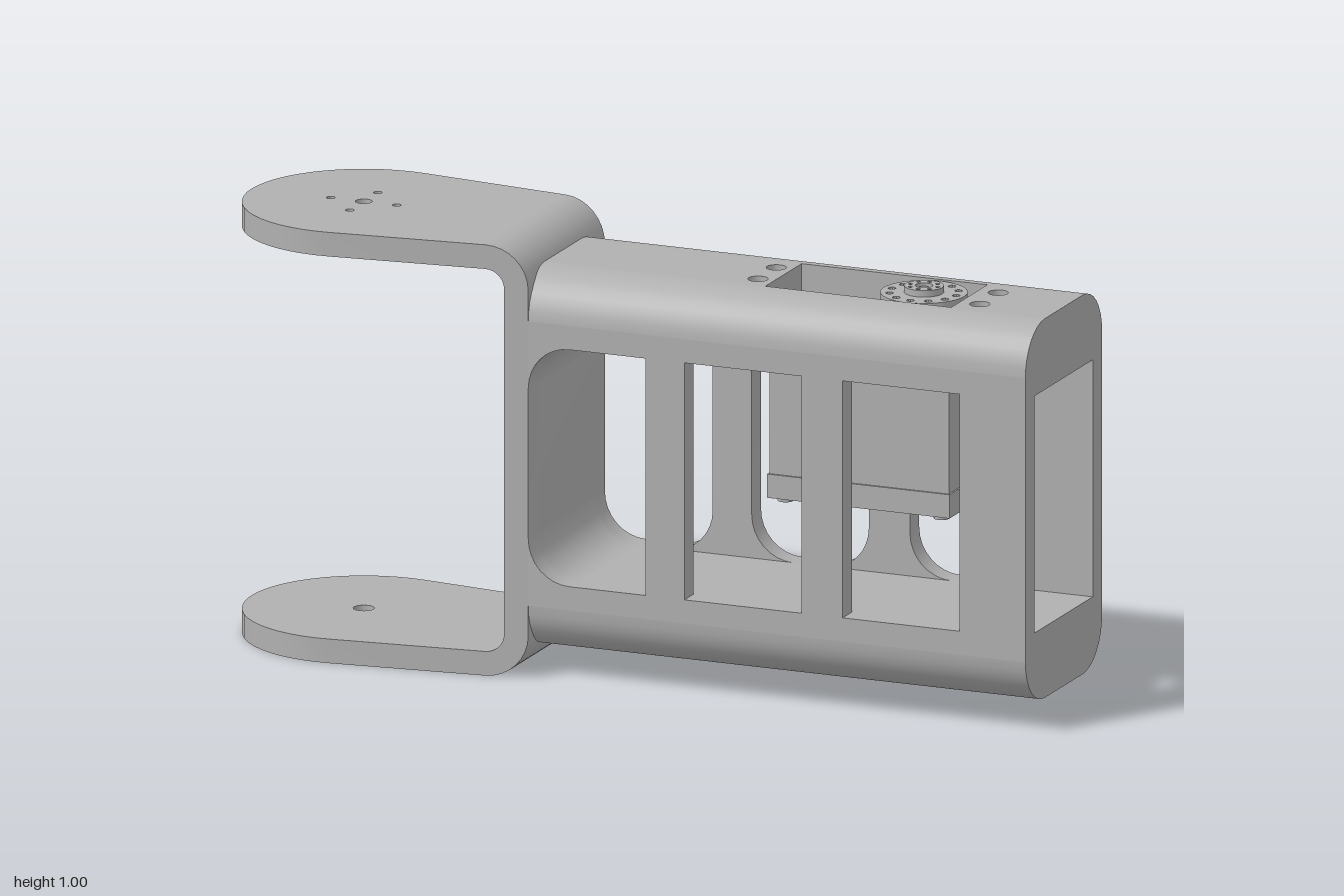
import * as THREE from 'three';
import { toCreasedNormals } from 'three/addons/utils/BufferGeometryUtils.js';

const V = (x, y) => new THREE.Vector2(x, y);

// points of a circular arc
function arc(cx, cy, r, a0, a1, n = 8) {
  return Array.from({ length: n + 1 }, (_, i) => {
    const a = a0 + (a1 - a0) * i / n;
    return V(cx + r * Math.cos(a), cy + r * Math.sin(a));
  });
}

// rectangle with separate radii for its left and right corners
function roundRect(x0, x1, y0, y1, rl = 0, rr = 0) {
  const q = Math.PI / 2;
  const corner = (x, y, sx, sy, r, a) =>
    r ? arc(x + sx * r, y + sy * r, r, a, a + q) : [V(x, y)];
  return [
    ...corner(x0, y0, 1, 1, rl, 2 * q), ...corner(x1, y0, -1, 1, rr, 3 * q),
    ...corner(x1, y1, -1, -1, rr, 0), ...corner(x0, y1, 1, -1, rl, q),
  ];
}

const circle = (x, y, r, n = 16) => arc(x, y, r, 0, Math.PI * 2 * (n - 1) / n, n - 1);

// extrude an outline with holes, centred on z = 0
function extrude(points, depth, holes = []) {
  const shape = new THREE.Shape(points);
  shape.holes = holes.map((h) => new THREE.Path(h));
  return new THREE.ExtrudeGeometry(shape, { depth, bevelEnabled: false }).translate(0, 0, -depth / 2);
}

// plan outline raised from y0 to y1
const slab = (points, y0, y1, holes) =>
  extrude(points, y1 - y0, holes).rotateX(-Math.PI / 2).translate(0, (y0 + y1) / 2, 0);

export function createModel() {
  const grey = new THREE.MeshStandardMaterial({ color: 0xb0b0b0 });
  grey.name = 'grey';
  const model = new THREE.Group();
  model.name = 'servoArm';
  const arm = new THREE.Group();
  arm.name = 'arm';
  arm.position.set(0.355, 0, 0.0725);
  arm.rotation.y = -0.183;
  model.add(arm);

  const add = (name, geometry, parent = arm) => {
    const mesh = new THREE.Mesh(toCreasedNormals(geometry, 0.6), grey);
    mesh.name = name;
    parent.add(mesh);
    return mesh;
  };
  const box = (name, x0, x1, y0, y1, z0, z1, parent) =>
    add(name, new THREE.BoxGeometry(x1 - x0, y1 - y0, z1 - z0)
      .translate((x0 + x1) / 2, (y0 + y1) / 2, (z0 + z1) / 2), parent);
  const cyl = (name, r, x, y0, y1, z, parent, n = 24) =>
    add(name, new THREE.CylinderGeometry(r, r, y1 - y0, n).translate(x, (y0 + y1) / 2, z), parent);

  const L = 0.605, W = 0.218, IN = 0.165, R = 0.11, X0 = -0.625;
  const LOW = 0.225, HIGH = 0.775;

  // housing: rounded edge rails along the four long corners
  for (const sy of [1, -1]) for (const sz of [1, -1]) {
    const section = [
      V(W - R, 0.275), V(IN, 0.275), V(IN, 0.33), V(W, 0.33),
      ...arc(W - R, 0.33, R, 0, Math.PI / 2, 8).slice(1),
    ].map((p) => V(-sz * p.x, 0.5 + sy * p.y));
    add('edgeRail', extrude(section, L - X0).rotateY(Math.PI / 2).translate((L + X0) / 2, 0, 0));
  }

  // housing: roof with servo opening and screw holes, plain floor
  const strip = roundRect(X0, L, R - W, W - R);
  const screws = [-0.117, 0.423].flatMap((x) => [-0.052, 0.052].map((z) => circle(x, z, 0.023)));
  add('roof', slab(strip, HIGH, 0.94, [roundRect(-0.077, 0.375, -0.103, 0.103), ...screws]));
  add('floor', slab(strip, 0.06, LOW));

  // housing: side walls, square windows in front and rounded ones behind
  const spans = [[-L, -0.32], [-0.225, 0.06], [0.16, 0.445]];
  const wall = roundRect(X0, L, 0.17, 0.83);
  const t = W - IN;
  add('frontWall', extrude(wall, t, spans.map(([a, b], i) =>
    roundRect(a, b, LOW, HIGH, i === 0 ? 0.1 : 0, 0))).translate(0, 0, W - t / 2));
  add('backWall', extrude(wall, t, spans.map(([a, b]) =>
    roundRect(a, b, LOW, HIGH, 0.1, 0.1))).translate(0, 0, t / 2 - W));

  // fillets inside the closed end of the housing
  for (const s of [1, -1]) {
    const pts = [V(-L, -0.275), ...arc(-L + 0.1, -0.175, 0.1, 1.5 * Math.PI, Math.PI)]
      .map((p) => V(p.x, 0.5 + s * p.y));
    add('innerFillet', extrude(pts, 2 * IN));
  }

  // fork: bent web whose width grows toward the flanges
  const halfWidth = (x) => W + 0.115 * Math.max(0, -L - x);
  const bend = -0.705, T = 0.056, q = Math.PI / 2;
  const web = extrude([
    V(bend, 0), ...arc(bend, 0.1, 0.1, -q, 0), ...arc(bend, 0.9, 0.1, 0, q),
    ...arc(bend, 0.9, 0.1 - T, q, 0), ...arc(bend, 0.1, 0.1 - T, 0, -q),
  ], 2);
  const pos = web.attributes.position;
  for (let i = 0; i < pos.count; i++) pos.setZ(i, pos.getZ(i) * halfWidth(pos.getX(i)));
  add('forkWeb', web);

  // fork: round-ended flanges with pivot holes
  const cx = -1.0985, cr = 0.273, ta = 1.457;
  const flange = [
    V(bend, -halfWidth(bend)), V(bend, halfWidth(bend)),
    ...arc(cx, 0, cr, ta, 2 * Math.PI - ta, 28),
  ];
  const hornHoles = [0, 1, 2, 3].map((i) =>
    circle(cx + 0.08 * Math.cos(i * q), 0.08 * Math.sin(i * q), 0.01, 12));
  add('topFlange', slab(flange, 1 - T, 1, [circle(cx, 0, 0.019), ...hornHoles]));
  add('bottomFlange', slab(flange, 0, T, [circle(cx, 0, 0.024)]));

  // servo motor hanging under the roof
  const servo = new THREE.Group();
  servo.name = 'servo';
  arm.add(servo);
  box('servoBody', -0.068, 0.368, 0.462, 0.81, -0.1, 0.1, servo);
  box('servoBase', -0.072, 0.372, 0.45, 0.505, -0.105, 0.105, servo);
  add('servoEars', slab(roundRect(-0.165, 0.47, -0.105, 0.105, 0.015, 0.015), 0.75, HIGH,
    [-0.117, 0.423].flatMap((x) => [-0.052, 0.052].map((z) => circle(x, z, 0.02)))), servo);
  box('gearCase', -0.03, 0.15, 0.8, 0.87, -0.09, 0.09, servo);
  cyl('gearTower', 0.1, 0.265, 0.8, 0.9, 0, servo, 32);
  for (const x of [-0.04, 0.34]) for (const z of [-0.075, 0.075])
    cyl('baseScrew', 0.018, x, 0.44, 0.452, z, servo, 16);

  // cable socket with three wires
  box('cableSocket', 0.37, 0.385, 0.48, 0.53, -0.04, 0.04, servo);
  for (const z of [-0.02, 0, 0.02])
    add('wire', new THREE.CylinderGeometry(0.012, 0.012, 0.05, 12).rotateZ(q)
      .translate(0.4, 0.505, z), servo);

  // output horn with a ring of holes, hub and centre screw
  const hx = 0.265;
  const ring = (n, d, r) => Array.from({ length: n }, (_, i) =>
    circle(hx + d * Math.cos(i * 2 * Math.PI / n), d * Math.sin(i * 2 * Math.PI / n), r, 10));
  add('hornDisc', slab(circle(hx, 0, 0.098, 40), 0.905, 0.938, ring(12, 0.078, 0.009)), servo);
  add('hornHub', slab(circle(hx, 0, 0.045, 24), 0.93, 0.953,
    [circle(hx, 0, 0.02), ...ring(8, 0.033, 0.005)]), servo);
  cyl('hornScrew', 0.012, hx, 0.93, 0.948, 0, servo, 12);

  return model;
}
